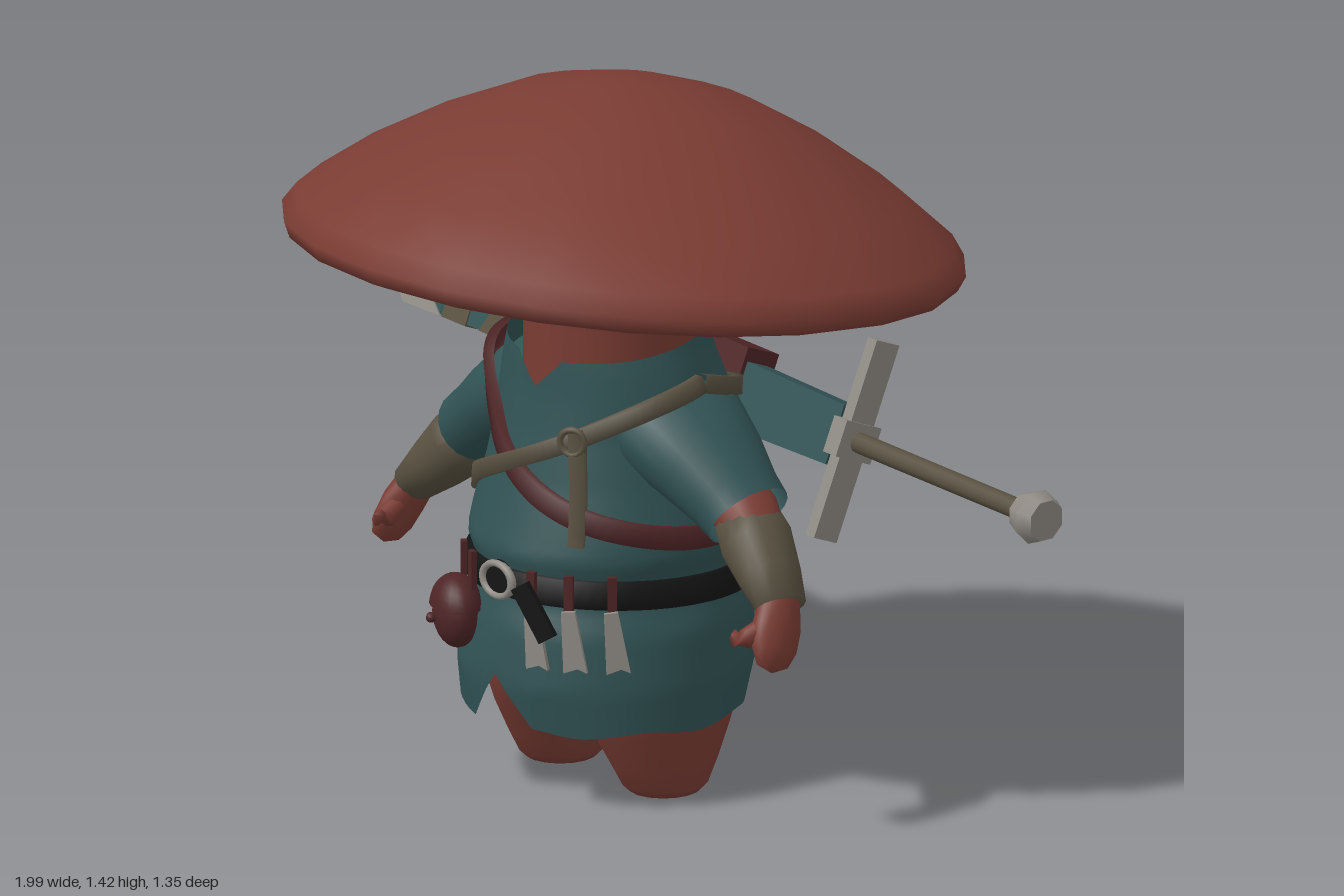
import * as THREE from 'three';

const CX = -0.04; // body centre line
const V = (x, y, z) => new THREE.Vector3(x, y, z);
const mat = (name, color, double) => {
  const m = new THREE.MeshStandardMaterial({ color });
  m.name = name;
  if (double) m.side = THREE.DoubleSide;
  return m;
};

// surface through rows of points; wrap joins the end of each row to its start
function loft(rows, wrap) {
  const n = rows[0].length, pos = [], idx = [];
  rows.forEach(r => r.forEach(p => pos.push(p.x, p.y, p.z)));
  for (let i = 0; i < rows.length - 1; i++)
    for (let j = 0; j < (wrap ? n : n - 1); j++) {
      const a = i * n + j, b = i * n + (j + 1) % n;
      idx.push(a, b, b + n, a, b + n, a + n);
    }
  const g = new THREE.BufferGeometry();
  g.setAttribute('position', new THREE.Float32BufferAttribute(pos, 3));
  g.setIndex(idx);
  g.computeVertexNormals();
  return g;
}

// tube with elliptical rings: stations are [x, y, z, radius, depth radius]
function limb(st, sides = 16) {
  const pts = st.map(s => V(s[0], s[1], s[2]));
  return loft(st.map((s, i) => {
    const d = pts[Math.min(i + 1, pts.length - 1)].clone().sub(pts[Math.max(i - 1, 0)]).normalize();
    const b = V(0, 0, 1).addScaledVector(d, -d.z).normalize();
    const a = b.clone().cross(d);
    return Array.from({ length: sides }, (_, j) => {
      const t = j / sides * Math.PI * 2;
      return pts[i].clone().addScaledVector(a, Math.cos(t) * s[3]).addScaledVector(b, Math.sin(t) * s[4]);
    });
  }), true);
}

// tunic profile: height, half width, front z, back z
const PROFILE = [
  [0.15, 0.285, 0.33, -0.215], [0.25, 0.29, 0.345, -0.25], [0.36, 0.28, 0.33, -0.25],
  [0.42, 0.257, 0.308, -0.238], [0.47, 0.26, 0.31, -0.238], [0.51, 0.278, 0.322, -0.255],
  [0.56, 0.28, 0.305, -0.262], [0.65, 0.262, 0.275, -0.24], [0.75, 0.245, 0.25, -0.21],
  [0.82, 0.24, 0.238, -0.185], [0.88, 0.225, 0.232, -0.16], [0.92, 0.212, 0.228, -0.15],
  [0.98, 0.2, 0.225, -0.14]];

// point on the body: angle 0 faces front, a quarter turn faces +x
function surf(th, y, off = 0) {
  let i = 0;
  while (i < PROFILE.length - 2 && y > PROFILE[i + 1][0]) i++;
  const a = PROFILE[i], b = PROFILE[i + 1];
  const k = THREE.MathUtils.clamp((y - a[0]) / (b[0] - a[0]), 0, 1);
  const [rx, zf, zb] = [1, 2, 3].map(q => a[q] + (b[q] - a[q]) * k);
  return V(CX + (rx + off) * Math.sin(th), y, (zf + zb) / 2 + ((zf - zb) / 2 + off) * Math.cos(th));
}

// strap lying on the body through [degrees, height, offset]
function strap(path, width, thick = 0.012, n = 72) {
  const curve = new THREE.CatmullRomCurve3(path.map(p => V(p[0] * Math.PI / 180, p[1], p[2] || 0)));
  const at = t => { const p = curve.getPoint(t); return surf(p.x, p.y, p.z); };
  const rows = [[], [], [], []];
  for (let i = 0; i <= n; i++) {
    const t = i / n, c = curve.getPoint(t), p = at(t);
    const tan = at(Math.min(1, t + 0.005)).sub(at(Math.max(0, t - 0.005))).normalize();
    const out = V(Math.sin(c.x), 0, Math.cos(c.x));
    const side = out.clone().cross(tan).normalize();
    [[-1, -0.01], [-1, thick], [1, thick], [1, -0.01]].forEach(([s, o], r) =>
      rows[r].push(p.clone().addScaledVector(side, s * width / 2).addScaledVector(out, o)));
  }
  return loft(rows, false);
}

export function createModel() {
  const model = new THREE.Group();
  const skin = mat('mushroom red', 0x7a3c33), cloth = mat('teal cloth', 0x315254, true);
  const olive = mat('olive wrap', 0x585040, true), leather = mat('dark red leather', 0x4e2526, true);
  const black = mat('black belt', 0x151515, true), metal = mat('pale metal', 0x8f8a84);
  const add = (name, geo, material, parent = model) => {
    const m = new THREE.Mesh(geo, material);
    m.name = name;
    parent.add(m);
    return m;
  };
  const box = (x, y, z) => new THREE.BoxGeometry(x, y, z);

  // tilted cap, listed from the underside outward to the crown
  const capProfile = [[0.001, 0.05], [0.25, 0.03], [0.4, 0], [0.54, -0.03], [0.63, -0.048], [0.668, -0.036],
    [0.682, -0.005], [0.655, 0.035], [0.55, 0.115], [0.4, 0.205], [0.25, 0.275], [0.1, 0.313], [0.001, 0.32]];
  const cap = add('cap', new THREE.LatheGeometry(capProfile.map(p => new THREE.Vector2(...p)), 22), skin);
  cap.position.set(CX, 1.1, 0);
  cap.rotation.x = -0.118;

  // neck flaring into the cap
  const neck = add('neck', new THREE.LatheGeometry([[0.17, 0.7], [0.17, 0.96], [0.178, 1.01], [0.2, 1.055],
    [0.245, 1.095], [0.32, 1.125]].map(p => new THREE.Vector2(...p)), 24), skin);
  neck.position.set(CX, 0, 0.04);

  // tunic with a slit in the hem and a notched collar
  const N = 64, R = 44, rows = [];
  for (let i = 0; i <= R; i++) rows.push(Array.from({ length: N }, (_, j) => {
    const th = (j <= N / 2 ? j : j - N) / N * Math.PI * 2;
    const notch = Math.max(0, 1 - Math.abs(th) / 0.2945);
    const hem = 0.163 + 0.006 * Math.sin(th * 7) + 0.105 * notch;
    const top = 0.93 - 0.03 * Math.cos(th) - 0.06 * notch;
    return surf(th, hem + (top - hem) * i / R);
  }));
  add('tunic', loft(rows, true), cloth);

  // hips and legs
  const hips = add('hips', new THREE.SphereGeometry(1, 24, 16), skin);
  hips.scale.set(0.255, 0.17, 0.19);
  hips.position.set(CX, 0.29, 0.03);
  for (const s of [1, -1]) {
    const side = s > 0 ? 'left' : 'right', X = o => CX + s * o;
    add(side + 'Leg', limb([[X(0.13), 0.32, 0.03, 0.13, 0.2], [X(0.142), 0.2, 0.03, 0.125, 0.185],
      [X(0.148), 0.13, 0.03, 0.108, 0.155], [X(0.152), 0.06, 0.03, 0.094, 0.115],
      [X(0.152), 0.015, 0.03, 0.085, 0.088], [X(0.152), 0.0, 0.03, 0.07, 0.072], [X(0.152), 0, 0.03, 0.001, 0.001]]), skin);

    // arm pieces from shoulder to fingertips
    add(side + 'Sleeve', limb([[X(0.1), 0.795, 0.03, 0.09, 0.14], [X(0.2), 0.755, 0.03, 0.108, 0.15],
      [X(0.29), 0.7, 0.03, 0.096, 0.125], [X(0.36), 0.65, 0.03, 0.082, 0.102], [X(0.4), 0.622, 0.03, 0.078, 0.096]], 20), cloth);
    add(side + 'UpperArm', limb([[X(0.28), 0.71, 0.03, 0.055, 0.065], [X(0.4), 0.625, 0.033, 0.062, 0.07],
      [X(0.44), 0.585, 0.04, 0.058, 0.06]]), skin);
    add(side + 'Forearm', limb([[X(0.39), 0.625, 0.033, 0.001, 0.001], [X(0.398), 0.618, 0.034, 0.062, 0.068],
      [X(0.435), 0.578, 0.04, 0.071, 0.076], [X(0.49), 0.525, 0.055, 0.058, 0.067], [X(0.54), 0.477, 0.07, 0.042, 0.055],
      [X(0.54), 0.475, 0.07, 0.001, 0.001]]), olive);
    add(side + 'Hand', limb([[X(0.53), 0.49, 0.065, 0.034, 0.045], [X(0.55), 0.44, 0.09, 0.034, 0.055],
      [X(0.562), 0.4, 0.108, 0.031, 0.052], [X(0.57), 0.37, 0.12, 0.022, 0.036], [X(0.572), 0.357, 0.123, 0.001, 0.001]]), skin);
    add(side + 'Thumb', limb([[X(0.545), 0.45, 0.1, 0.022, 0.024], [X(0.53), 0.425, 0.155, 0.021, 0.022],
      [X(0.525), 0.43, 0.18, 0.014, 0.018], [X(0.525), 0.438, 0.19, 0.001, 0.001]], 10), skin);
  }

  // straps crossing the chest
  add('redStrap', strap([[-90, 0.865, 0.035], [-65, 0.845, 0.03], [-38, 0.775, 0.01], [-15, 0.7, 0], [15, 0.63, 0],
    [45, 0.585, 0], [90, 0.555, 0], [130, 0.585, 0], [180, 0.69, 0], [225, 0.8, 0.015], [270, 0.865, 0.035]], 0.045), leather);
  add('oliveStrap', strap([[-270, 0.865, 0.035], [-228, 0.81, 0.015], [-180, 0.755, 0], [-145, 0.7, 0], [-110, 0.61, 0],
    [-70, 0.56, 0], [-35, 0.63, 0.006], [0, 0.7, 0.012], [27, 0.755, 0.012], [60, 0.825, 0.03], [90, 0.865, 0.035]], 0.036), olive);
  add('strapTail', strap([[28, 0.78, 0.02], [31, 0.66, 0.015], [33, 0.55, 0.005]], 0.032, 0.01, 10), olive);

  // small parts set on the body, turned to face outward
  const onBody = (name, geo, material, deg, y, off, roll = 0) => {
    const m = add(name, geo, material), th = deg * Math.PI / 180;
    m.position.copy(surf(th, y, off));
    m.rotation.set(0, th, roll, 'YXZ');
    return m;
  };
  onBody('strapBuckle', new THREE.TorusGeometry(0.026, 0.007, 6, 16), olive, 27, 0.755, 0.028);

  // belt with buckle, loops and hanging end
  const ring = Array.from({ length: 25 }, (_, i) => [i * 15, 0.442 + 0.012 * Math.cos(i * Math.PI / 12), 0.004]);
  add('belt', strap(ring, 0.056, 0.014), black);
  const buckle = onBody('beltBuckle', new THREE.TorusGeometry(0.042, 0.009, 8, 20), metal, 0, 0.46, 0.026);
  buckle.scale.y = 0.8;
  onBody('buckleCentre', new THREE.CylinderGeometry(0.04, 0.04, 0.01, 20).rotateX(Math.PI / 2), black, 0, 0.46, 0.022);
  onBody('beltEnd', box(0.04, 0.12, 0.014), black, 20, 0.415, 0.04, 0.55);
  for (const d of [-34, -20, 17, 33, 50])
    onBody('beltLoop', box(0.018, 0.082, 0.012), leather, d, 0.452, 0.024);

  // round pouch with flap
  const pouch = onBody('pouch', new THREE.SphereGeometry(0.07, 20, 14), leather, -27, 0.358, 0.025);
  pouch.scale.set(1, 1.02, 0.65);
  const flap = onBody('pouchFlap', new THREE.SphereGeometry(0.075, 20, 8, 0, Math.PI * 2, 0, 1.45), leather, -27, 0.365, 0.027);
  flap.scale.set(1, 0.95, 0.7);
  onBody('pouchButton', new THREE.SphereGeometry(0.011, 8, 6), leather, -27, 0.35, 0.075);

  // three throwing blades under the belt
  const blade = new THREE.ExtrudeGeometry(new THREE.Shape([[-0.014, 0.06], [-0.024, -0.065], [0.006, -0.058],
    [0.024, -0.068], [0.014, 0.06]].map(p => new THREE.Vector2(...p))), { depth: 0.01, bevelEnabled: false });
  for (const d of [20, 35, 51]) onBody('throwingBlade', blade, metal, d, 0.365, 0.016, 0.12);

  // sword across the back; its own x runs from scabbard tip to pommel
  const sword = new THREE.Group();
  sword.name = 'sword';
  const ax = V(2, -0.055, 0.1).normalize();
  const az = ax.clone().cross(V(0, 0.93, -0.37)).normalize();
  sword.quaternion.setFromRotationMatrix(new THREE.Matrix4().makeBasis(ax, az.clone().cross(ax), az));
  sword.position.set(0, 0.7425, -0.24);
  model.add(sword);
  const plate = (name, pts, depth, material) => add(name, new THREE.ExtrudeGeometry(
    new THREE.Shape(pts.map(p => new THREE.Vector2(...p))), { depth, bevelEnabled: false }).translate(0, 0, -depth / 2), material, sword);
  const half = x => 0.082 - (x + 0.83) * 0.017;
  plate('scabbard', [[-0.84, -half(-0.84)], [0.365, -half(0.365)], [0.365, half(0.365)], [-0.84, half(-0.84)]], 0.056, cloth);
  plate('scabbardTip', [[-0.995, -0.035], [-0.94, -0.086], [-0.825, -0.084], [-0.87, -0.05], [-0.91, 0],
    [-0.87, 0.05], [-0.825, 0.084], [-0.94, 0.086], [-0.995, 0.035]], 0.066, metal);
  plate('tipInlay', [[-0.925, 0], [-0.87, -0.06], [-0.83, -0.08], [-0.83, 0.08], [-0.87, 0.06]], 0.058, cloth);
  for (const [x, lean] of [[-0.785, 0], [-0.635, 0.035], [-0.46, -0.045], [-0.3, 0.035]]) {
    const h = half(x) + 0.003, w = 0.037;
    plate('scabbardWrap', [[x - lean - w, -h], [x - lean + w, -h], [x + lean + w, h], [x + lean - w, h]], 0.062, olive);
  }
  const place = (m, x, y = 0, z = 0) => { m.position.set(x, y, z); return m; };
  place(add('scabbardHolder', box(0.26, 0.19, 0.085), leather, sword), -0.07, 0, -0.005);
  for (const x of [-0.15, 0.01])
    place(add('holderStud', new THREE.SphereGeometry(0.012, 8, 6), metal, sword), x, -0.05, -0.048);
  place(add('guard', box(0.028, 0.41, 0.062), metal, sword), 0.388);
  place(add('guardCentre', box(0.04, 0.075, 0.095), metal, sword), 0.388);
  place(add('grip', new THREE.CylinderGeometry(0.021, 0.021, 0.54, 12).rotateZ(Math.PI / 2), olive, sword), 0.66);
  const pommelMat = metal;
  place(add('pommel', new THREE.CylinderGeometry(0.043, 0.056, 0.03, 8).rotateZ(-Math.PI / 2), pommelMat, sword), 0.98);
  place(add('pommelBase', new THREE.CylinderGeometry(0.056, 0.04, 0.04, 8).rotateZ(-Math.PI / 2), pommelMat, sword), 0.945);

  return model;
}
